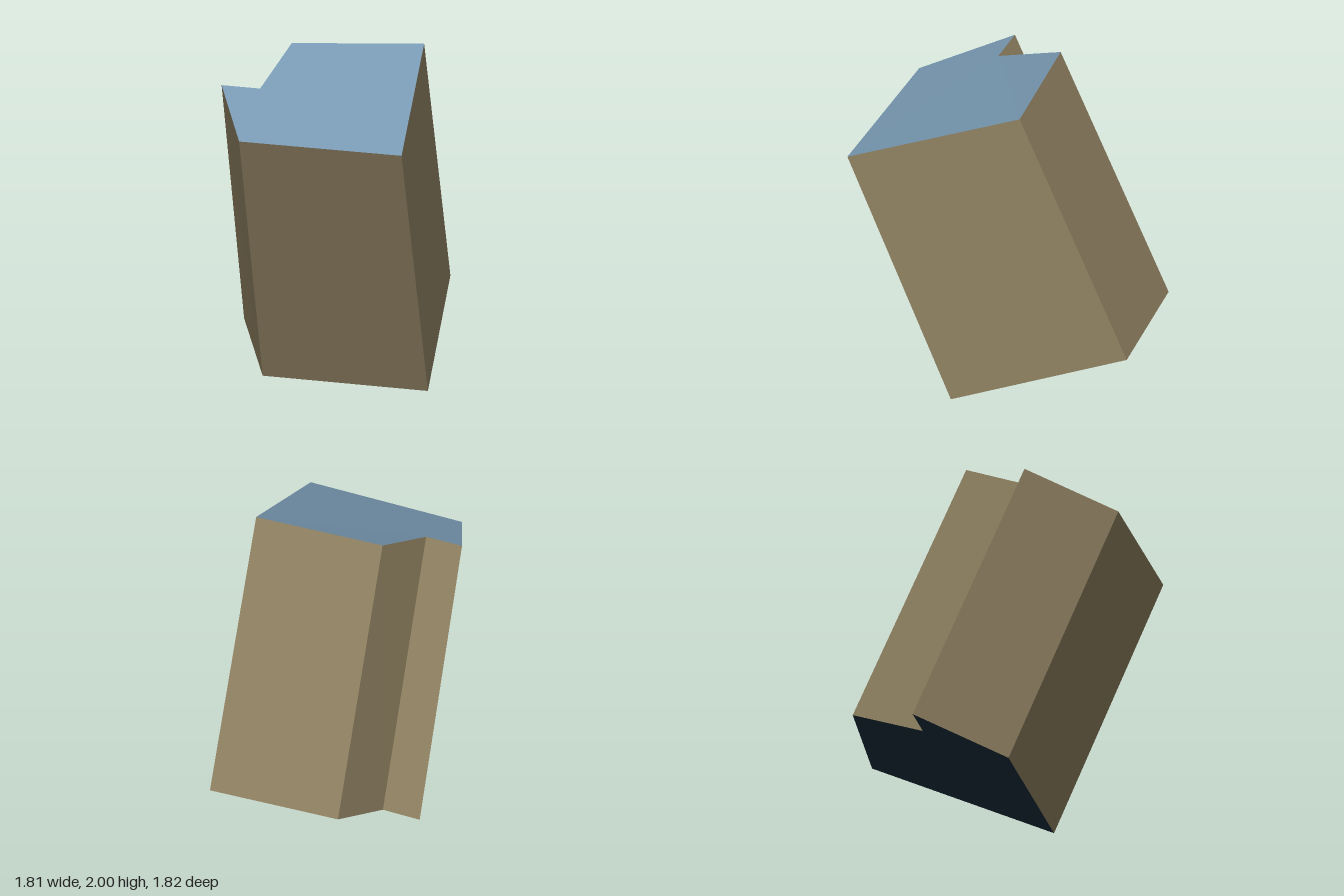
import * as THREE from 'three';

// Matching corners of the two end outlines, counter-clockwise seen from above
const TOP = [
  [-0.907, 1.571, 0.174], [-0.239, 1.542, 0.91], [0.422, 2.0, 0.089],
  [-0.177, 1.979, -0.422], [-0.545, 1.788, -0.179], [-0.705, 1.796, -0.351],
];
const BOTTOM = [
  [-0.452, 0.034, -0.302], [0.228, 0, 0.446], [0.9, 0.474, -0.394],
  [0.294, 0.452, -0.913], [-0.085, 0.262, -0.665], [-0.249, 0.263, -0.84],
];
const NOTCH = 4; // inner corner, from which both ends can be fanned

// Flat-shaded mesh from a list of corner triples
function faces(name, corners, material) {
  const geometry = new THREE.BufferGeometry();
  geometry.setAttribute('position', new THREE.Float32BufferAttribute(corners.flat(), 3));
  geometry.computeVertexNormals();
  const mesh = new THREE.Mesh(geometry, material);
  mesh.name = name;
  return mesh;
}

// End face fanned out from the notch corner
function cap(loop, flip) {
  const corners = [];
  const n = loop.length;
  for (let i = 1; i < n - 1; i++) {
    const a = loop[(NOTCH + i) % n];
    const b = loop[(NOTCH + i + 1) % n];
    corners.push(loop[NOTCH], ...(flip ? [b, a] : [a, b]));
  }
  return corners;
}

export function createModel() {
  const material = (name, color) => {
    const m = new THREE.MeshStandardMaterial({ color, flatShading: true });
    m.name = name;
    return m;
  };
  const tan = material('tan walls', 0x8f8161);
  const blue = material('blue top', 0x7899b3);
  const navy = material('navy base', 0x1a2d3d);

  // Side walls joining the two outlines
  const walls = [];
  TOP.forEach((t0, i) => {
    const j = (i + 1) % TOP.length;
    walls.push(t0, BOTTOM[i], BOTTOM[j], t0, BOTTOM[j], TOP[j]);
  });

  const group = new THREE.Group();
  group.name = 'leaningNotchedBlock';
  group.add(
    faces('sideWalls', walls, tan),
    faces('topFace', cap(TOP, false), blue),
    faces('bottomFace', cap(BOTTOM, true), navy),
  );
  return group;
}
